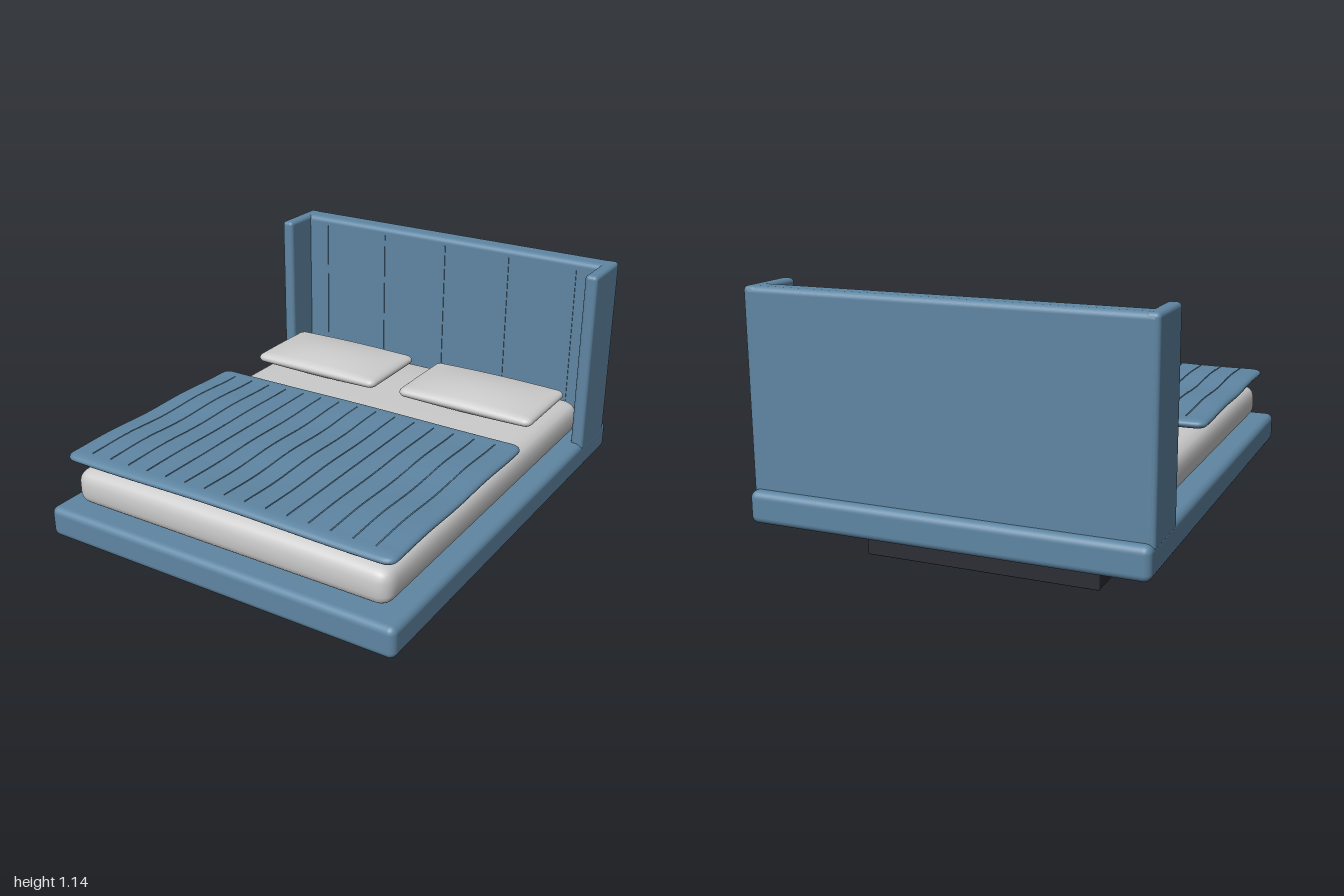
import * as THREE from 'three';
import { mergeVertices } from 'three/addons/utils/BufferGeometryUtils.js';
import { RoundedBoxGeometry } from 'three/addons/geometries/RoundedBoxGeometry.js';

const blue = new THREE.MeshStandardMaterial({ color: 0x5f86a3 });
const linen = new THREE.MeshStandardMaterial({ color: 0xcccccc });
const dark = new THREE.MeshStandardMaterial({ color: 0x2b2e35 });

function add(parent, name, geometry, material, x = 0, y = 0, z = 0) {
  const mesh = new THREE.Mesh(geometry, material);
  mesh.name = name;
  mesh.position.set(x, y, z);
  parent.add(mesh);
  return mesh;
}

// Rounded box given by its limits on each axis
function block(parent, name, material, [x0, x1], [y0, y1], [z0, z1], r) {
  const geometry = new RoundedBoxGeometry(x1 - x0, y1 - y0, z1 - z0, 4, r);
  return add(parent, name, geometry, material, (x0 + x1) / 2, (y0 + y1) / 2, (z0 + z1) / 2);
}

// Soft slab: rounded edges (plan radius rp, vertical radius ry), then lifted by
// lift(u, v, t), with u, v, t running from -1 to 1 across width, depth and height
function softSlab(w, h, d, rp, ry, lift) {
  let g = new THREE.BoxGeometry(2, 2, 2, 44, 8, 44);
  g.deleteAttribute('uv');
  g.deleteAttribute('normal');
  g = mergeVertices(g);
  const half = new THREE.Vector3(w / 2, h / 2, d / 2);
  const radius = new THREE.Vector3(rp, ry, rp);
  const inner = half.clone().sub(radius);
  const p = new THREE.Vector3(), core = new THREE.Vector3();
  const pos = g.attributes.position;
  for (let i = 0; i < pos.count; i++) {
    p.fromBufferAttribute(pos, i);
    // crowd the grid lines toward the edges
    p.set(...p.toArray().map(s => Math.sin(s * Math.PI / 2))).multiply(half);
    core.copy(p).clamp(inner.clone().negate(), inner);
    p.sub(core).divide(radius).normalize().multiply(radius).add(core);
    p.y += lift(p.x / half.x, p.z / half.z, p.y / half.y);
    pos.setXYZ(i, p.x, p.y, p.z);
  }
  g.computeVertexNormals();
  return g;
}

export function createModel() {
  const bed = new THREE.Group();
  bed.name = 'bed';

  // Recessed plinth and upholstered base
  block(bed, 'plinth', dark, [-0.505, 0.505], [0, 0.165], [-0.64, 0.64], 0.006);
  block(bed, 'bedBase', blue, [-0.813, 0.813], [0.21, 0.343], [-1, 1], 0.03);

  // Headboard with side wings and vertical seams
  const headboard = new THREE.Group();
  headboard.name = 'headboard';
  bed.add(headboard);
  block(headboard, 'headboardPanel', blue, [-0.815, 0.815], [0.31, 1.137], [-0.96, -0.855], 0.025);
  for (const [side, name] of [[1, 'leftWing'], [-1, 'rightWing']]) {
    const wing = block(headboard, name, blue, [0.758, 0.815], [0.31, 1.137], [-0.958, -0.69], 0.018);
    wing.position.x *= side;
  }
  for (let i = -2; i <= 2; i++) {
    add(headboard, 'headboardSeam', new THREE.BoxGeometry(0.005, 0.72, 0.006), blue, i * 0.3275, 0.74, -0.854);
  }

  // Mattress with a crowned top
  const crown = (u, v, t) => t > 0 ? 0.038 * t * (1 - u ** 6) * (1 - v ** 6) : 0;
  add(bed, 'mattress', softSlab(1.48, 0.15, 1.74, 0.06, 0.05, crown), linen, 0, 0.42, 0.05);

  // Pillows: thin rim, domed above and below
  const dome = (u, v, t) => 0.032 * t * (1 - u * u) * (1 - v * v);
  for (const [side, name] of [[1, 'leftPillow'], [-1, 'rightPillow']]) {
    add(bed, name, softSlab(0.65, 0.042, 0.39, 0.035, 0.021, dome), linen, side * 0.388, 0.568, -0.505);
  }

  // Gently rippled duvet with lengthwise quilting
  const ripple = (u, v) => 0.004 * v + 0.004 * Math.sin(v * 7 + 1) * Math.cos(u * 4);
  const duvet = new THREE.Group();
  duvet.name = 'duvet';
  duvet.position.set(0, 0.554, 0.398);
  bed.add(duvet);
  const w = 1.53, h = 0.04, d = 1.07;
  add(duvet, 'duvetCover', softSlab(w, h, d, 0.045, 0.02, ripple), blue);
  for (let i = -7; i <= 7; i++) {
    const x = i * 0.095;
    const points = [];
    for (let k = 0; k <= 12; k++) {
      const z = -0.47 + 0.95 * k / 12;
      points.push(new THREE.Vector3(x, h / 2 + ripple(2 * x / w, 2 * z / d), z));
    }
    add(duvet, 'quiltSeam', new THREE.TubeGeometry(new THREE.CatmullRomCurve3(points), 24, 0.003, 6), blue);
  }
  return bed;
}
